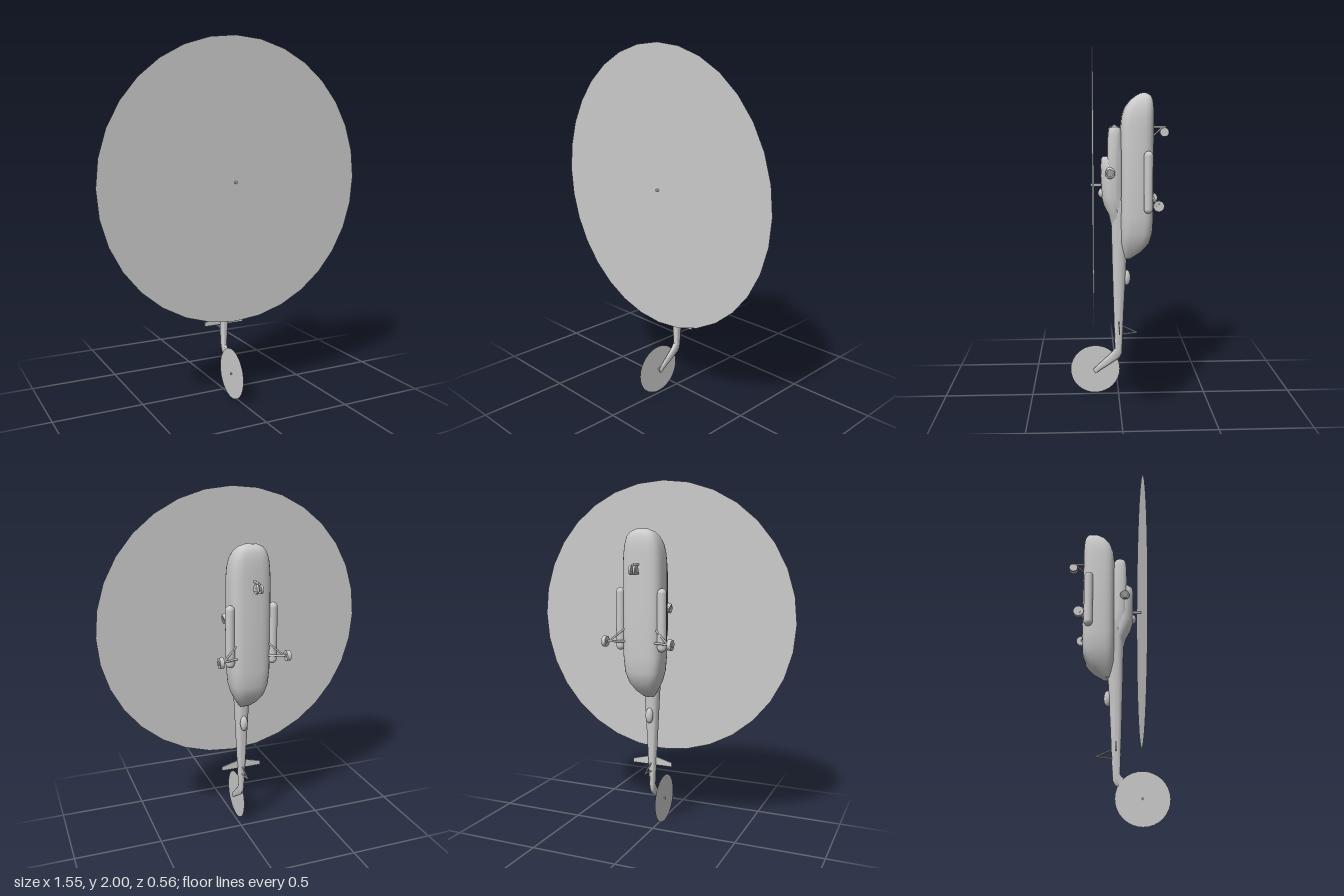
import * as THREE from 'three';
import { toCreasedNormals } from 'three/addons/utils/BufferGeometryUtils.js';

const grey = new THREE.MeshStandardMaterial({ color: 0xcccccc, side: THREE.DoubleSide });

// Skin through superellipse sections [y, zMin, zMax, halfWidth], listed from low to high
function loft(sections, { cx = 0, power = 2, sides = 20, crease = 0.7 } = {}) {
  const pos = [], index = [];
  const bend = (v) => Math.sign(v) * Math.abs(v) ** (2 / power);
  for (const [y, z0, z1, w] of sections) {
    for (let j = 0; j < sides; j++) {
      const t = (j / sides) * Math.PI * 2;
      pos.push(cx + w * bend(Math.cos(t)), y, (z0 + z1) / 2 + ((z1 - z0) / 2) * bend(Math.sin(t)));
    }
  }
  const last = sections.length - 1;
  for (const i of [0, last]) pos.push(cx, sections[i][0], (sections[i][1] + sections[i][2]) / 2);
  const low = sections.length * sides, high = low + 1;
  for (let j = 0; j < sides; j++) {
    const k = (j + 1) % sides;
    for (let i = 0; i < last; i++) {
      const a = i * sides + j, b = i * sides + k;
      index.push(a, a + sides, b, b, a + sides, b + sides);
    }
    index.push(low, j, k, high, last * sides + k, last * sides + j);
  }
  const g = new THREE.BufferGeometry();
  g.setAttribute('position', new THREE.Float32BufferAttribute(pos, 3));
  g.setIndex(index);
  return toCreasedNormals(g, crease);
}

export function createModel() {
  const root = new THREE.Group();
  const add = (name, geometry, x = 0, y = 0, z = 0, parent = root) => {
    const m = new THREE.Mesh(geometry, grey);
    m.name = name;
    m.position.set(x, y, z);
    parent.add(m);
    return m;
  };
  // Round bar between two points
  const bar = (name, a, b, r, r2 = r, sides = 10) => {
    const p = new THREE.Vector3(...a), q = new THREE.Vector3(...b);
    const m = add(name, new THREE.CylinderGeometry(r2, r, p.distanceTo(q), sides));
    m.position.copy(p).lerp(q, 0.5);
    m.quaternion.setFromUnitVectors(new THREE.Vector3(0, 1, 0), q.sub(p).normalize());
    return m;
  };
  const wheel = (name, x, y, z, r, w) => {
    bar(name, [x - w / 2, y, z], [x + w / 2, y, z], r, r, 18);
    bar(name + 'Hub', [x - w * 0.62, y, z], [x + w * 0.62, y, z], r * 0.45);
  };

  // Cabin, nose up
  add('fuselage', loft([
    [0.81, -0.07, -0.03, 0.03], [0.85, -0.128, -0.02, 0.058], [0.9, -0.17, -0.012, 0.085],
    [0.96, -0.188, -0.01, 0.104], [1.05, -0.193, -0.008, 0.112], [1.3, -0.193, -0.008, 0.113],
    [1.54, -0.193, -0.008, 0.112], [1.6, -0.193, -0.014, 0.108], [1.65, -0.192, -0.03, 0.1],
    [1.69, -0.187, -0.06, 0.085], [1.715, -0.177, -0.092, 0.065], [1.73, -0.155, -0.12, 0.03],
  ], { power: 3.4, sides: 28 }));

  // Tail boom running into the swept fin
  add('tailBoomAndFin', loft([
    [0.13, 0.126, 0.137, 0.006], [0.15, 0.098, 0.15, 0.008], [0.18, 0.052, 0.116, 0.009],
    [0.22, -0.008, 0.074, 0.012], [0.245, -0.019, 0.046, 0.014], [0.275, -0.021, 0.021, 0.016],
    [0.5, -0.03, 0.028, 0.027], [0.8, -0.045, 0.037, 0.042], [1.0, -0.06, 0.042, 0.055],
    [1.15, -0.08, 0.05, 0.068],
  ], { power: 2.3 }));

  // Gearbox housing and its rear fairing
  add('gearboxHousing', loft([
    [1.0, -0.02, 0.042, 0.04], [1.06, -0.02, 0.056, 0.058], [1.11, -0.02, 0.083, 0.068],
    [1.16, -0.02, 0.096, 0.072], [1.3, -0.02, 0.1, 0.072], [1.37, -0.02, 0.098, 0.064],
    [1.385, -0.02, 0.088, 0.05],
  ], { power: 2 }));

  // Rotor mast and spinning rotor disc
  bar('rotorMast', [0, 1.225, 0.08], [0, 1.225, 0.157], 0.008);
  add('mainRotorDisc', new THREE.CircleGeometry(0.775, 32), 0, 1.225, 0.144);
  add('mastFairing', new THREE.SphereGeometry(0.03, 16, 10), 0, 1.18, 0.085);

  // Tail rotor
  bar('tailRotorHub', [0, 0.145, 0.135], [-0.026, 0.145, 0.135], 0.005);
  add('tailRotorDisc', new THREE.CircleGeometry(0.143, 32), -0.018, 0.145, 0.135).rotation.y = Math.PI / 2;

  // Horizontal stabilizer
  const plan = new THREE.Shape([[-0.12, 0.395], [0.12, 0.395], [0.12, 0.418], [0.03, 0.442],
    [-0.03, 0.442], [-0.12, 0.418]].map((p) => new THREE.Vector2(...p)));
  add('stabilizer', new THREE.ExtrudeGeometry(plan, { depth: 0.006, bevelEnabled: false }), 0, 0, -0.004);

  // Tail bumper and the pod under the boom
  bar('tailBumper', [0, 0.41, -0.02], [0, 0.37, -0.105], 0.004);
  bar('tailBumperBrace', [0, 0.36, -0.02], [0, 0.37, -0.105], 0.004);
  add('boomPod', new THREE.SphereGeometry(1, 16, 12), 0, 0.695, -0.047).scale.set(0.022, 0.045, 0.021);

  for (const s of [-1, 1]) {
    const side = s > 0 ? 'left' : 'right';
    // Engine with intake lip, cone and exhaust
    add(side + 'EngineCowl', loft([
      [1.1, -0.02, 0.04, 0.025], [1.2, -0.02, 0.062, 0.04], [1.4, -0.018, 0.063, 0.04],
      [1.5, -0.015, 0.061, 0.038], [1.535, -0.01, 0.056, 0.033], [1.545, -0.004, 0.05, 0.027],
    ], { cx: s * 0.038, power: 2.4 }));
    add(side + 'IntakeLip', new THREE.TorusGeometry(0.021, 0.004, 8, 18), s * 0.034, 1.545, 0.023).rotation.x = Math.PI / 2;
    add(side + 'IntakeCone', new THREE.SphereGeometry(0.015, 14, 8), s * 0.034, 1.543, 0.023);
    bar(side + 'Exhaust', [s * 0.05, 1.31, 0.045], [s * 0.084, 1.295, 0.05], 0.026, 0.026, 16);
    add(side + 'ExhaustRim', new THREE.TorusGeometry(0.023, 0.005, 8, 18), s * 0.084, 1.295, 0.05).rotation.y = Math.PI / 2;

    // Side tank with its mount
    add(side + 'Tank', new THREE.CapsuleGeometry(0.025, 0.29, 6, 16), s * 0.121, 1.25, -0.157);
    add(side + 'TankMount', new THREE.BoxGeometry(0.04, 0.24, 0.02), s * 0.1, 1.25, -0.155);

    // Main landing gear
    wheel(side + 'MainWheel', s * 0.19, 1.13, -0.207, 0.029, 0.022);
    bar(side + 'AxleStrut', [s * 0.08, 1.13, -0.172], [s * 0.19, 1.13, -0.207], 0.006);
    bar(side + 'DragStrut', [s * 0.09, 1.2, -0.17], [s * 0.172, 1.13, -0.2], 0.005);

    // Nose wheels
    wheel(side + 'NoseWheel', s * 0.012, 1.517, -0.253, 0.025, 0.012);
  }

  // Nose gear leg
  bar('noseLeg', [0, 1.545, -0.18], [0, 1.545, -0.262], 0.006);
  bar('noseFork', [0, 1.545, -0.255], [0, 1.517, -0.253], 0.005);
  bar('noseBrace', [0, 1.49, -0.185], [0, 1.542, -0.24], 0.004);

  return root;
}
